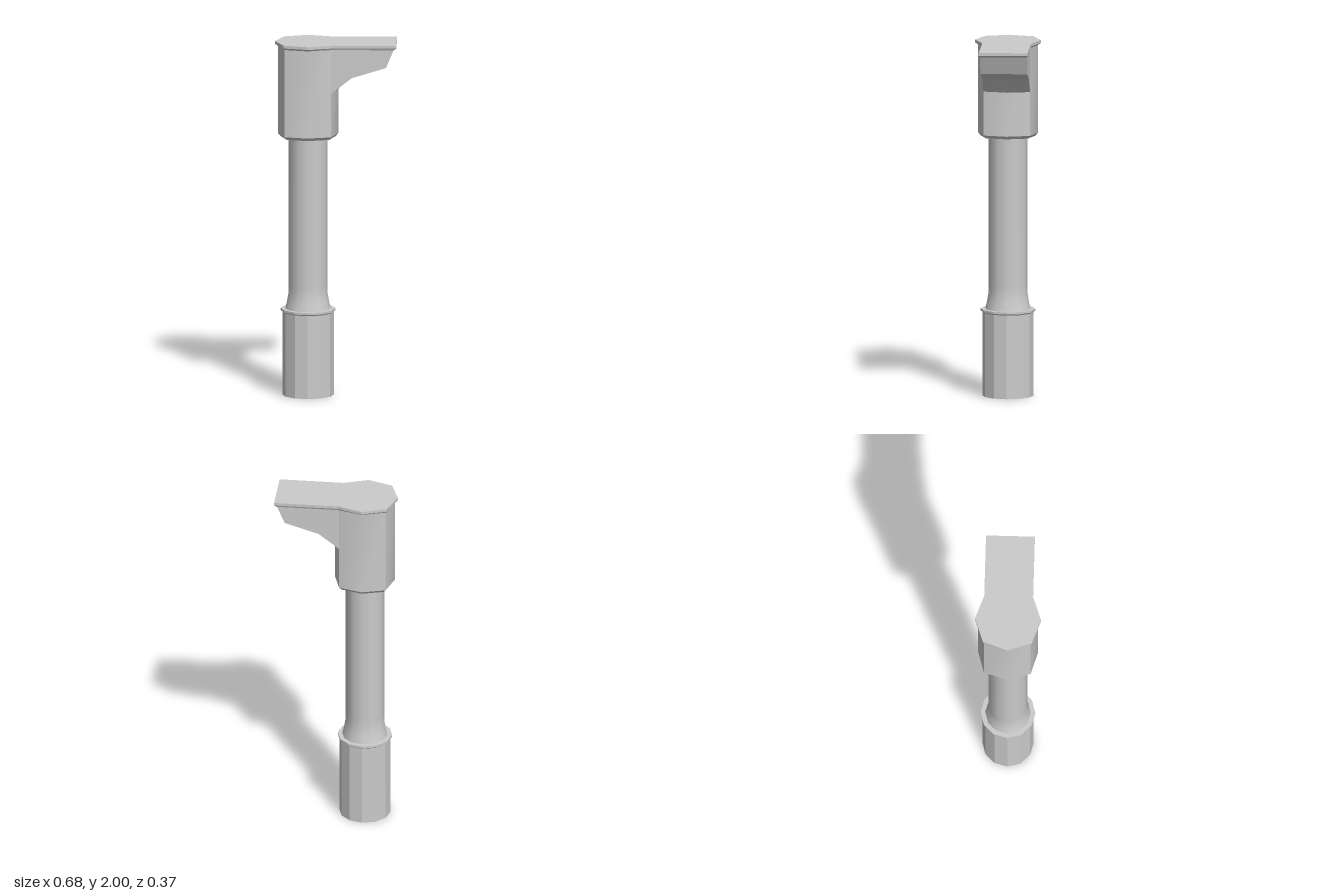
import * as THREE from 'three';
import { toCreasedNormals } from 'three/addons/utils/BufferGeometryUtils.js';

const AXIS = -0.155; // x of the post's centre line
const SIDES = 12;
const smooth = new THREE.MeshStandardMaterial({ color: 0xcccccc });
const faceted = new THREE.MeshStandardMaterial({ color: 0xcccccc, flatShading: true });

// Closed solid through rings of equal point count, bottom to top.
// Points are [x, -z], counter-clockwise seen from above.
function loft(rings) {
  const out = [];
  const put = (ring, j) => {
    const [x, d] = ring.points[j % ring.points.length];
    out.push(x, ring.y, -d);
  };
  for (let i = 0; i < rings.length - 1; i++) {
    const lo = rings[i], hi = rings[i + 1];
    for (let j = 0; j < lo.points.length; j++) {
      put(lo, j); put(lo, j + 1); put(hi, j + 1);
      put(lo, j); put(hi, j + 1); put(hi, j);
    }
  }
  const first = rings[0], last = rings[rings.length - 1];
  const tris = (r) => THREE.ShapeUtils.triangulateShape(r.points.map((p) => new THREE.Vector2(...p)), []);
  for (const [a, b, c] of tris(first)) { put(first, c); put(first, b); put(first, a); }
  for (const [a, b, c] of tris(last)) { put(last, a); put(last, b); put(last, c); }
  const geo = new THREE.BufferGeometry();
  geo.setAttribute('position', new THREE.Float32BufferAttribute(out, 3));
  return toCreasedNormals(geo, 0.66);
}

// Squarish octagon: r at the four axes, (d, d) at the corners
const octagon = (r, d) =>
  [[r, 0], [d, d], [0, r], [-d, d], [-r, 0], [-d, -d], [0, -r], [d, -d]].map(([x, z]) => [AXIS + x, z]);

// Head outline: octagon with its +x point replaced by the arm's end
const headOutline = (r, d, end) => [[end, -d], [end, d], ...octagon(r, d).slice(1)];

function turned(points, material) {
  const geo = new THREE.LatheGeometry(points.map((p) => new THREE.Vector2(...p)), SIDES);
  const mesh = new THREE.Mesh(geo, material);
  mesh.position.x = AXIS;
  return mesh;
}

// Arm: side profile extruded in two steps, its inner lower edge bent round the head
function armGeometry() {
  const w = 0.13, startX = -0.027, startY = 1.725;
  const shape = new THREE.Shape([
    [startX, startY], [0.09, 1.815], [0.28, 1.873], [0.325, 1.98], [startX, 1.98],
  ].map((p) => new THREE.Vector2(...p)));
  const geo = new THREE.ExtrudeGeometry(shape, { depth: 2 * w, steps: 2, bevelEnabled: false });
  geo.translate(0, 0, -w);
  const pos = geo.attributes.position;
  for (let i = 0; i < pos.count; i++) {
    if (Math.abs(pos.getZ(i)) < 0.01 && Math.abs(pos.getY(i) - startY) < 0.001) pos.setX(i, 0.01);
  }
  return toCreasedNormals(geo, 0.3);
}

export function createModel() {
  const model = new THREE.Group();
  const add = (name, mesh) => {
    mesh.name = name;
    model.add(mesh);
  };

  // Faceted foot and the collar around its top
  add('base', turned([[0, 0], [0.143, 0], [0.143, 0.475]], faceted));
  add('collar', turned([[0.143, 0.47], [0.152, 0.477], [0.152, 0.489], [0.12, 0.489]], faceted));

  // Round post flaring out at the foot
  add('post', turned([[0.127, 0.487], [0.117, 0.53], [0.109, 0.575], [0.108, 0.62], [0.108, 1.47]], smooth));

  // Head with bevelled underside
  add('head', new THREE.Mesh(loft([
    { y: 1.463, points: octagon(0.154, 0.118) },
    { y: 1.48, points: octagon(0.168, 0.13) },
    { y: 1.98, points: octagon(0.168, 0.13) },
  ]), smooth));

  add('arm', new THREE.Mesh(armGeometry(), smooth));

  // Top plate over head and arm, chamfered below
  add('topPlate', new THREE.Mesh(loft([
    { y: 1.974, points: headOutline(0.17, 0.131, 0.325) },
    { y: 1.984, points: headOutline(0.184, 0.136, 0.338) },
    { y: 2.0, points: headOutline(0.184, 0.136, 0.338) },
  ]), faceted));

  return model;
}
